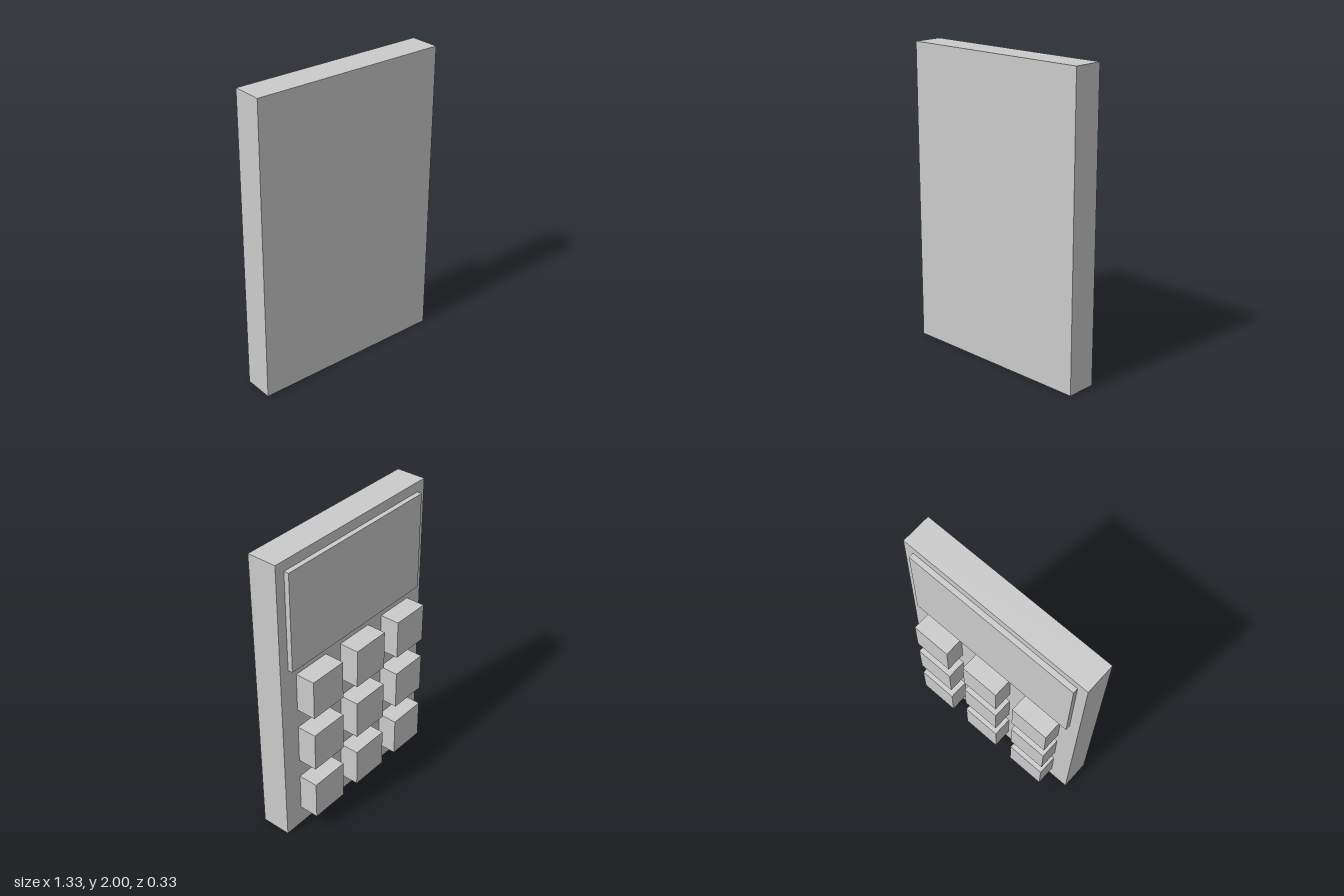
import * as THREE from 'three';

const BACK = -1 / 30; // z of the face that carries the screen and keys

export function createModel() {
  const group = new THREE.Group();
  const material = new THREE.MeshStandardMaterial({ color: 0xcccccc, flatShading: true });

  const addBox = (name, w, h, d, x, y, z) => {
    const mesh = new THREE.Mesh(new THREE.BoxGeometry(w, h, d), material);
    mesh.name = name;
    mesh.position.set(x, y, z);
    group.add(mesh);
  };

  // Slab body
  addBox('body', 4 / 3, 2, 0.2, 0, 1, BACK + 0.1);

  // Thin raised display panel
  addBox('screen', 1.2, 2 / 3, 1 / 30, 0, 1.6, BACK - 1 / 60);

  // Three by three keypad
  const keySize = 4 / 15, keyDepth = 2 / 15, pitch = 0.4;
  for (let row = 0; row < 3; row++) {
    for (let col = 0; col < 3; col++) {
      addBox(`key${row * 3 + col + 1}`, keySize, keySize, keyDepth,
        (1 - col) * pitch, 16 / 15 - row * pitch, BACK - keyDepth / 2);
    }
  }
  return group;
}
